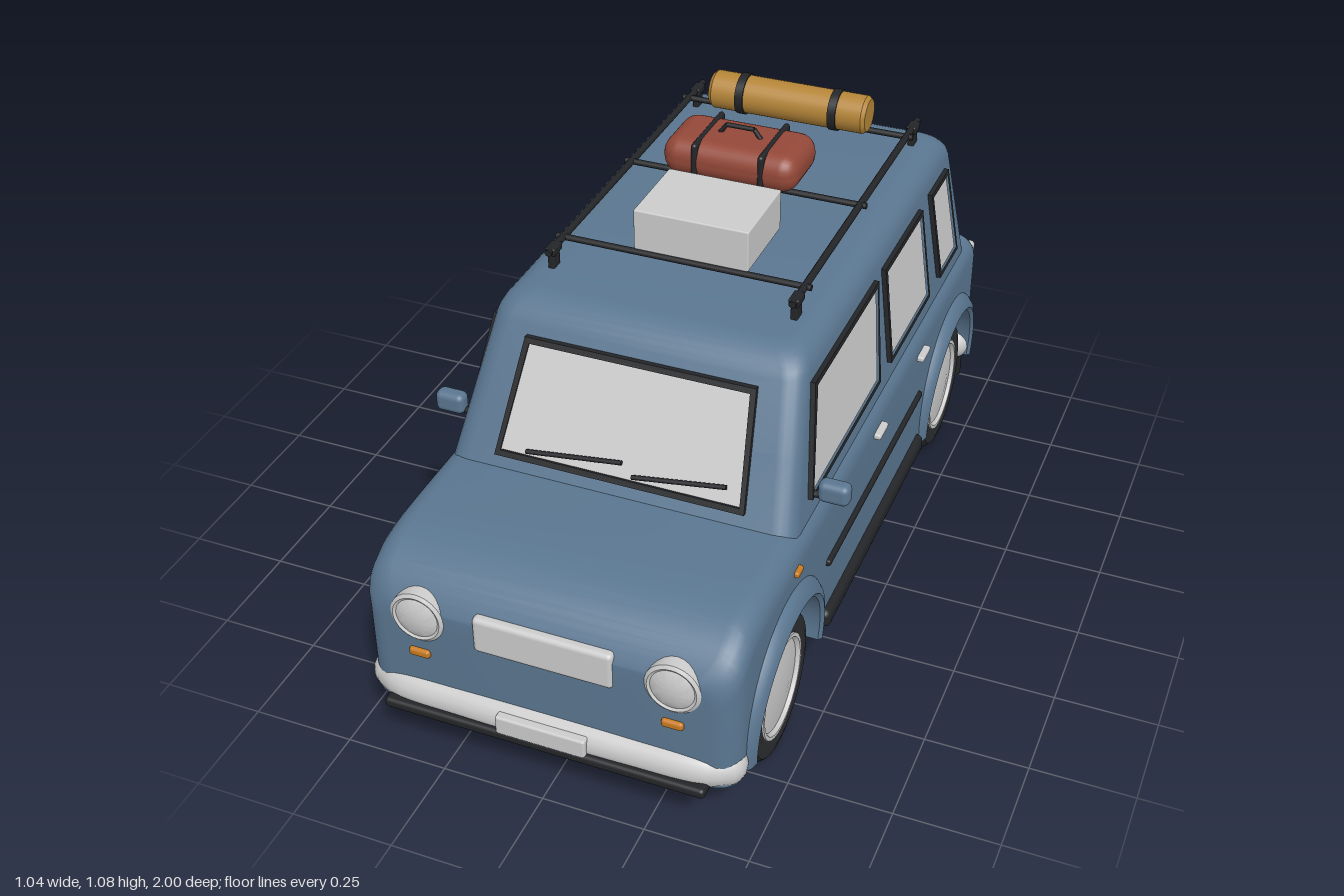
import * as THREE from 'three';
import { toCreasedNormals } from 'three/addons/utils/BufferGeometryUtils.js';
import { RoundedBoxGeometry } from 'three/addons/geometries/RoundedBoxGeometry.js';

const mat = (color, side = THREE.FrontSide) => new THREE.MeshStandardMaterial({ color, side });
const BLUE = mat(0x5a7690), SHELL = mat(0x5a7690, THREE.DoubleSide);
const BLACK = mat(0x242528), GREY = mat(0xcccccc), ORANGE = mat(0xc87a20);
const RED = mat(0x944838), OCHRE = mat(0xb58538);
const V = (x, y, z) => new THREE.Vector3(x, y, z);
const WHEELS = [0.64, -0.666];

export function createModel() {
  const root = new THREE.Group();
  const add = (name, geo, material, x = 0, y = 0, z = 0) => {
    const m = new THREE.Mesh(geo, material);
    m.name = name;
    m.position.set(x, y, z);
    root.add(m);
    return m;
  };
  const box = (name, material, w, h, d, x, y, z, r = 0.006) =>
    add(name, new RoundedBoxGeometry(w, h, d, 3, r), material, x, y, z);
  const bar = (name, p, q, r, material = BLACK) => {
    const dir = q.clone().sub(p);
    const m = add(name, new THREE.CylinderGeometry(r, r, dir.length(), 10), material);
    m.position.copy(p).add(q).multiplyScalar(0.5);
    m.quaternion.setFromUnitVectors(V(0, 1, 0), dir.normalize());
    return m;
  };

  // Skin over a list of cross-sections, with optional flat end caps
  function loft(rings, { closed = false, capFirst = false, capLast = false, skip = () => false }) {
    const n = rings[0].length, idx = [];
    for (let j = 0; j < rings.length - 1; j++) {
      for (let i = 0; i < (closed ? n : n - 1); i++) {
        if (skip(i, j)) continue;
        const k = (i + 1) % n, a = j * n + i, b = j * n + k, c = b + n, d = a + n;
        idx.push(a, d, b, b, d, c);
      }
    }
    const last = (rings.length - 1) * n;
    for (let i = 0; i < n / 2 - 1; i++) {
      const a = i, b = i + 1, c = n - 2 - i, d = n - 1 - i;
      if (capFirst) idx.push(a, b, c, a, c, d);
      if (capLast) idx.push(last + a, last + c, last + b, last + a, last + d, last + c);
    }
    const g = new THREE.BufferGeometry().setFromPoints(rings.flat());
    g.setIndex(idx);
    return toCreasedNormals(g, 0.6);
  }

  // Lower body: sections along z, cut away over the wheels, open underneath
  const front = 0.96, back = -0.945, R = 0.06, ARCH = 0.215;
  const zs = [0.48, 0.2, 0, -0.2, -0.8];
  for (let k = 0; k <= 6; k++) {
    const e = R * (1 - Math.cos((k / 6) * Math.PI / 2));
    zs.push(front - e, back + e);
  }
  for (const c of WHEELS) {
    for (let k = 0; k <= 20; k++) zs.push(c + ARCH * Math.cos((k / 20) * Math.PI));
    zs.push(c + ARCH + 0.001, c - ARCH - 0.001);
  }
  zs.sort((a, b) => b - a);
  const section = (z) => {
    const e = Math.min(front - z, z - back, R) / R;
    const w = 0.39 + R * Math.sqrt(Math.max(0, 1 - (1 - e) ** 2));
    let t = 0.547, b = 0.15;
    if (z > 0.5) t -= 0.115 * ((z - 0.5) / 0.46) ** 7;
    if (z < -0.87) t -= 0.075 * ((-0.87 - z) / 0.075) ** 2;
    for (const c of WHEELS) {
      const d = Math.abs(z - c);
      if (d <= ARCH + 1e-6) b = 0.19 + Math.sqrt(Math.max(0, ARCH * ARCH - d * d));
    }
    const half = [[w, b]];
    for (let k = 0; k <= 6; k++) {
      const a = (k / 6) * Math.PI / 2;
      half.push([w - R + R * Math.cos(a), t - R + R * Math.sin(a)]);
    }
    return [...half.map(([x, y]) => V(x, y, z)), ...half.reverse().map(([x, y]) => V(-x, y, z))];
  };
  add('lowerBody', loft(zs.map(section), {
    capFirst: true, capLast: true,
    skip: (i, j) => i === 7 && zs[j] <= 0.48 && zs[j + 1] >= -0.8,
  }), SHELL);

  // Cabin: rounded rectangles stacked upwards, rounded into the roof
  const SIDE = [0.429, 0.148], FRONT = [0.559, 0.56], REAR = [0.858, 0.16];
  const at = ([base, slope], y) => base - (y - 0.545) * slope;
  const levels = [[0.51, 0], [0.7, 0]];
  for (let k = 0; k <= 6; k++) {
    const a = (k / 6) * Math.PI / 2;
    levels.push([0.845 + 0.055 * Math.sin(a), 0.055 * (1 - Math.cos(a))]);
  }
  add('cabin', loft(levels.map(([y, inset]) => {
    const w = at(SIDE, y) - inset, zf = at(FRONT, y) - inset, zb = -at(REAR, y) + inset;
    const r = 0.05, ring = [];
    [[w - r, zf - r], [r - w, zf - r], [r - w, zb + r], [w - r, zb + r]].forEach(([x, z], q) => {
      for (let k = 0; k <= 5; k++) {
        const a = (q + k / 5) * Math.PI / 2;
        ring.push(V(x + r * Math.cos(a), y, z + r * Math.sin(a)));
      }
    });
    return ring;
  }), { closed: true, capLast: true }), SHELL);

  // Windows: frame with a hole plus a pane, sheared to the slope of the wall
  function windowPanel(name, corners, plane, angle) {
    const cx = corners.reduce((s, p) => s + p[0], 0) / 4;
    const inner = corners.map(([u, y]) => [u - Math.sign(u - cx) * 0.013, y - Math.sign(y - 0.7) * 0.012]);
    const shape = (pts) => new THREE.Shape(pts.map(([u, y]) => new THREE.Vector2(u, y)));
    const frame = shape(corners);
    frame.holes.push(shape(inner));
    for (const [part, s, depth, m] of [['Frame', frame, 0.012, BLACK], ['Glass', shape(inner), 0.007, GREY]]) {
      const g = new THREE.ExtrudeGeometry(s, { depth: depth + 0.01, bevelEnabled: false });
      const p = g.attributes.position;
      for (let i = 0; i < p.count; i++) p.setZ(i, p.getZ(i) - 0.01 + at(plane, p.getY(i)));
      g.computeVertexNormals();
      add(name + part, g, m).rotation.y = angle;
    }
  }
  windowPanel('windscreen', [[-0.31, 0.577], [0.31, 0.577], [0.285, 0.825], [-0.285, 0.825]], FRONT, 0);
  windowPanel('rearWindow', [[-0.3, 0.59], [0.3, 0.59], [0.275, 0.825], [-0.275, 0.825]], REAR, Math.PI);
  const sideWindows = {
    frontSideWindow: [[0.446, 0.58], [0.345, 0.826], [-0.12, 0.826], [-0.06, 0.58]],
    middleSideWindow: [[-0.147, 0.58], [-0.174, 0.826], [-0.49, 0.826], [-0.484, 0.58]],
    rearSideWindow: [[-0.58, 0.58], [-0.57, 0.826], [-0.725, 0.826], [-0.746, 0.58]],
  };

  // Wipers
  const wiper = (x0, y0, x1, y1, plane, s) => bar('wiper',
    V(x0, y0, s * (at(plane, y0) + 0.018)), V(x1, y1, s * (at(plane, y1) + 0.018)), 0.006);
  wiper(-0.23, 0.602, 0.005, 0.625, FRONT, 1);
  wiper(0.035, 0.602, 0.26, 0.627, FRONT, 1);
  wiper(-0.03, 0.62, -0.25, 0.655, REAR, -1);

  // Wheel and arch profiles, turned about the x axis
  const turn = (pts, n, start = 0, len = Math.PI * 2) => toCreasedNormals(new THREE.LatheGeometry(
    pts.map(([r, h]) => new THREE.Vector2(r, h)), n, start, len).rotateZ(-Math.PI / 2), 0.5);
  const tyre = turn([[0, -0.05], [0.15, -0.057], [0.17, -0.052], [0.183, -0.035], [0.183, 0.035],
    [0.17, 0.052], [0.15, 0.057], [0.12, 0.05]], 32);
  const hub = turn([[0.13, 0.045], [0.127, 0.056], [0.118, 0.056], [0.112, 0.046], [0.06, 0.052], [0, 0.054]], 32);
  const flare = turn([[0.212, 0.41], [0.212, 0.47], [0.222, 0.478], [0.24, 0.472], [0.255, 0.458], [0.262, 0.44]],
    32, Math.PI - 0.16, Math.PI + 0.32);
  const fp = flare.attributes.position;
  for (let i = 0; i < fp.count; i++) fp.setX(i, fp.getX(i) - 0.055 * Math.max(0, 0.22 - fp.getY(i)));

  for (const s of [1, -1]) {
    const angle = s * Math.PI / 2, face = s > 0 ? 0 : Math.PI;
    for (const [name, pts] of Object.entries(sideWindows))
      windowPanel(name, pts.map(([z, y]) => [-s * z, y]), SIDE, angle);
    for (const c of WHEELS) {
      add('tyre', tyre, mat(0x2c2d30, THREE.DoubleSide), s * 0.388, 0.184, c).rotation.y = face;
      add('hubcap', hub, GREY, s * 0.388, 0.184, c).rotation.y = face;
      add('wheelArch', flare, SHELL, 0, 0.19, c).rotation.y = face;
    }
    // Side trim
    box('sill', BLACK, 0.05, 0.05, 0.79, s * 0.443, 0.175, -0.01, 0.018);
    box('sideStrip', BLACK, 0.02, 0.018, 0.755, s * 0.45, 0.34, -0.008);
    for (const z of [-0.01, -0.375]) box('doorHandle', GREY, 0.03, 0.016, 0.066, s * 0.452, 0.472, z);
    box('sideIndicator', ORANGE, 0.02, 0.016, 0.036, s * 0.45, 0.485, 0.583);
    box('mudflap', BLACK, 0.1, 0.09, 0.01, s * 0.39, 0.125, -0.885, 0.004);
    // Mirrors
    bar('mirrorStalk', V(s * 0.41, 0.588, 0.43), V(s * 0.47, 0.588, 0.43), 0.009);
    box('mirror', BLUE, 0.075, 0.054, 0.042, s * 0.482, 0.606, 0.43, 0.016);
    // Lamps
    const lamp = turn([[0, 0], [0.066, 0], [0.066, 0.05], [0.058, 0.056], [0.052, 0.052], [0.03, 0.06], [0, 0.063]], 28);
    add('headlamp', lamp, GREY, s * 0.306, 0.41, 0.91).rotation.y = -Math.PI / 2;
    box('frontIndicator', ORANGE, 0.052, 0.022, 0.03, s * 0.306, 0.31, 0.955, 0.008);
    box('tailLamp', GREY, 0.06, 0.165, 0.07, s * 0.405, 0.408, -0.925, 0.012);
    // Roof rack sides
    bar('rackRail', V(s * 0.303, 0.947, 0.24), V(s * 0.303, 0.947, -0.735), 0.009);
    for (const z of [0.21, -0.695]) {
      box('rackPost', BLACK, 0.017, 0.055, 0.035, s * 0.303, 0.918, z, 0.004);
      box('rackFoot', BLACK, 0.026, 0.02, 0.045, s * 0.303, 0.945, z, 0.004);
    }
  }

  // Nose and tail details
  box('grille', GREY, 0.336, 0.096, 0.03, 0, 0.409, 0.952, 0.012);
  box('rearPlate', GREY, 0.21, 0.06, 0.02, 0, 0.36, -0.945);
  box('tailgateHandle', GREY, 0.1, 0.02, 0.03, 0, 0.455, -0.945);
  box('frontPlate', GREY, 0.22, 0.062, 0.03, 0, 0.182, 0.983);

  // Bumpers
  for (const [s, z] of [[1, 0.93], [-1, 0.915]]) {
    const pts = [[-0.41, -0.02], [-0.37, 0], [-0.2, 0.008], [0, 0.01], [0.2, 0.008], [0.37, 0], [0.41, -0.02]];
    const path = new THREE.CatmullRomCurve3(pts.map(([x, d]) => V(x, 0, s * (z + d))));
    const name = s > 0 ? 'frontBumper' : 'rearBumper';
    add(name, new THREE.TubeGeometry(path, 40, 0.049, 16), GREY, 0, 0.183, 0);
    for (const e of [pts[0], pts[6]])
      add(name + 'End', new THREE.SphereGeometry(0.049, 16, 12), GREY, e[0], 0.183, s * (z + e[1]));
    box(name + 'Strip', BLACK, 0.785, 0.026, 0.05, 0, 0.158, s * 0.975, 0.01);
  }

  // Roof rack crossbars
  for (const z of [0.155, -0.25, -0.635]) bar('rackCrossbar', V(-0.32, 0.947, z), V(0.32, 0.947, z), 0.008);

  // Luggage: crate, bag and bedroll
  box('crate', GREY, 0.286, 0.105, 0.218, 0.023, 1.007, 0.049, 0.004);
  box('bag', RED, 0.355, 0.1, 0.195, -0.027, 1.005, -0.292, 0.045);
  for (const x of [-0.112, 0.062]) box('bagStrap', BLACK, 0.016, 0.106, 0.201, x, 1.005, -0.292, 0.007).geometry
    = new RoundedBoxGeometry(0.016, 0.106, 0.201, 3, 0.008);
  const grip = [V(-0.08, 1.052, -0.292), V(-0.062, 1.076, -0.292), V(0.01, 1.076, -0.292), V(0.028, 1.052, -0.292)];
  for (let i = 0; i < 3; i++) bar('bagHandle', grip[i], grip[i + 1], 0.006);
  const roll = turn([[0, -0.215], [0.042, -0.215], [0.05, -0.205], [0.05, 0.205], [0.042, 0.215], [0, 0.215]], 28);
  add('bedroll', roll, OCHRE, -0.005, 1.005, -0.605);
  const strap = turn([[0.049, -0.011], [0.054, -0.011], [0.054, 0.011], [0.049, 0.011]], 28);
  for (const x of [-0.132, 0.122]) add('bedrollStrap', strap, BLACK, x, 1.005, -0.605);

  return root;
}
